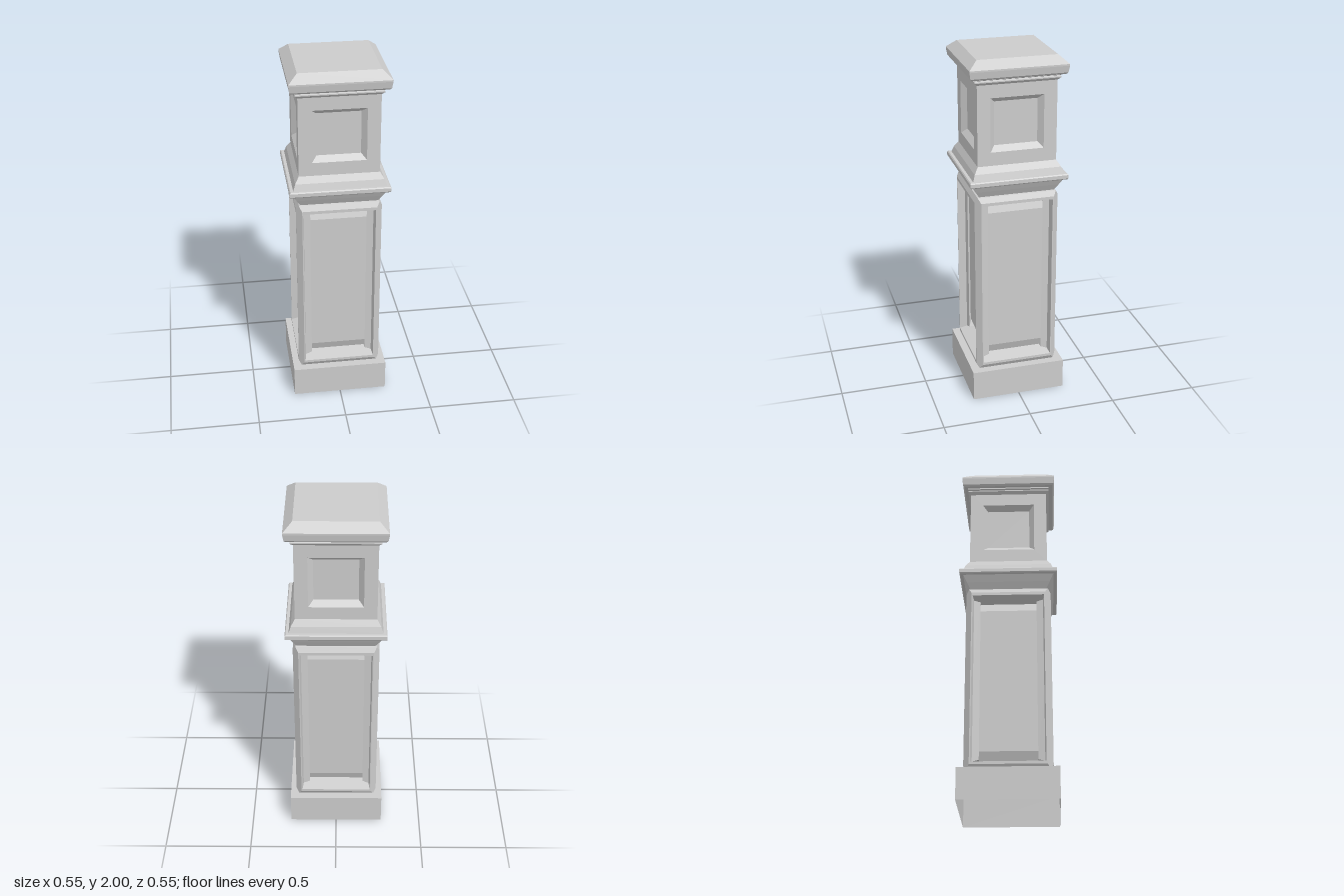
import * as THREE from 'three';

const material = new THREE.MeshStandardMaterial({
  color: 0xcccccc, flatShading: true, side: THREE.DoubleSide,
});

// Square moulding swept round the post from [halfWidth, y] points, bottom to top
function moulding(name, profile) {
  const points = profile.map(([half, y]) => new THREE.Vector2(half * Math.SQRT2, y));
  const mesh = new THREE.Mesh(new THREE.LatheGeometry(points, 4, Math.PI / 4), material);
  mesh.name = name;
  return mesh;
}

// Panelled face from nested rectangles [halfWidth, bottom, top, depth], closed by the last one
function panelGeometry(rings) {
  const positions = [];
  const index = [];
  for (const [w, y0, y1, z] of rings) {
    positions.push(-w, y0, z, w, y0, z, w, y1, z, -w, y1, z);
  }
  for (let r = 0; r < rings.length - 1; r++) {
    for (let i = 0; i < 4; i++) {
      const a = r * 4 + i, b = r * 4 + (i + 1) % 4;
      index.push(a, b, b + 4, a, b + 4, a + 4);
    }
  }
  const c = (rings.length - 1) * 4;
  index.push(c, c + 1, c + 2, c, c + 2, c + 3);
  const geometry = new THREE.BufferGeometry();
  geometry.setAttribute('position', new THREE.Float32BufferAttribute(positions, 3));
  geometry.setIndex(index);
  const flat = geometry.toNonIndexed();
  flat.computeVertexNormals();
  return flat;
}

// The same panelled face on all four sides
function fourSides(name, rings) {
  const group = new THREE.Group();
  group.name = name;
  const geometry = panelGeometry(rings);
  for (let i = 0; i < 4; i++) {
    const face = new THREE.Mesh(geometry, material);
    face.name = `${name}Face`;
    face.rotation.y = i * Math.PI / 2;
    group.add(face);
  }
  return group;
}

export function createModel() {
  const model = new THREE.Group();
  model.name = 'newelPost';

  // Hollow plinth, open underneath
  model.add(moulding('plinth', [[0.27, 0], [0.27, 0.175], [0.2215, 0.175]]));

  // Shaft with chamfered edges and deep-set raised panels
  model.add(fourSides('shaft', [
    [0.2215, 0.175, 1.235, 0.2215],
    [0.206, 0.2, 1.207, 0.237],
    [0.2, 0.215, 1.19, 0.237],
    [0.188, 0.24, 1.17, 0.157],
    [0.167, 0.29, 1.12, 0.176],
  ]));

  // Flared collar with a rounded projecting band
  model.add(moulding('collar', [
    [0.2215, 1.235], [0.213, 1.238], [0.234, 1.275], [0.254, 1.313], [0.27, 1.313],
    [0.275, 1.319], [0.275, 1.339], [0.27, 1.345], [0.254, 1.345],
    [0.242, 1.38], [0.22, 1.415],
  ]));

  // Upper block with recessed panels
  model.add(fourSides('upperBlock', [
    [0.22, 1.415, 1.87, 0.22],
    [0.148, 1.49, 1.79, 0.22],
    [0.12, 1.52, 1.763, 0.19],
  ]));

  // Stepped moulding and bevelled cap
  model.add(moulding('cap', [
    [0.22, 1.863], [0.235, 1.878], [0.235, 1.884], [0.225, 1.888], [0.237, 1.893],
    [0.237, 1.9], [0.255, 1.9], [0.264, 1.91], [0.27, 1.947], [0.27, 1.956],
    [0.22, 2], [0, 2],
  ]));

  return model;
}
